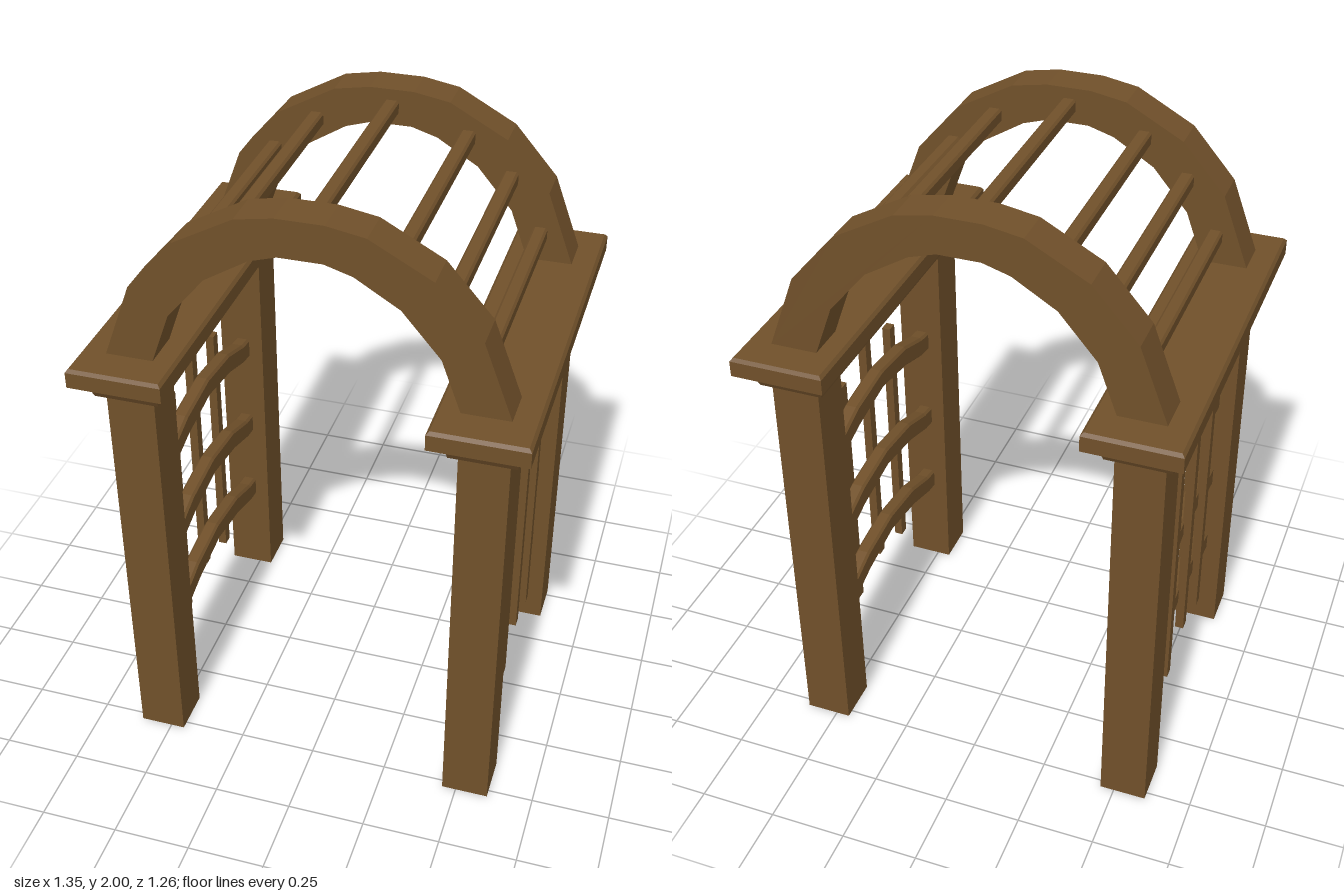
import * as THREE from 'three';

const wood = new THREE.MeshStandardMaterial({ color: 0x70502a, flatShading: true });

function add(parent, name, geometry, x = 0, y = 0, z = 0) {
  const mesh = new THREE.Mesh(geometry, wood);
  mesh.name = name;
  mesh.position.set(x, y, z);
  parent.add(mesh);
  return mesh;
}

// Box standing on y = 0 whose top may differ in size from its bottom
function taperedBox(w0, d0, w1, d1, h) {
  const g = new THREE.BoxGeometry(1, h, 1).translate(0, h / 2, 0);
  const p = g.attributes.position;
  for (let i = 0; i < p.count; i++) {
    const top = p.getY(i) > h / 2;
    p.setX(i, p.getX(i) * (top ? w1 : w0));
    p.setZ(i, p.getZ(i) * (top ? d1 : d0));
  }
  g.computeVertexNormals();
  return g;
}

// Closed outline from a lower and an upper run of points, both left to right
function band(lower, upper) {
  return new THREE.Shape([...lower, ...upper.slice().reverse()].map(([x, y]) => new THREE.Vector2(x, y)));
}

// Half profile (from the right end to the middle) mirrored to a full run
function mirrored(half) {
  const left = half.map(([x, y]) => [-x, y]);
  const right = half.slice().reverse().filter(([x]) => x > 0);
  return [...left, ...right];
}

// Extrusion centred on z = 0 with small chamfers
function chamfered(shape, depth, c) {
  return new THREE.ExtrudeGeometry(shape, {
    depth: depth - 2 * c, bevelEnabled: true, bevelSegments: 1,
    bevelThickness: c, bevelSize: c, bevelOffset: -c, curveSegments: 1,
  }).translate(0, 0, c - depth / 2);
}

export function createModel() {
  const model = new THREE.Group();
  model.name = 'gardenArbor';

  // Arched beams, front and back
  const outer = mirrored([[0.6, 1.48], [0.51, 1.72], [0.37, 1.88], [0.185, 1.98], [0.07, 2]]);
  const inner = mirrored([[0.455, 1.48], [0.395, 1.645], [0.28, 1.78], [0.148, 1.86], [0.065, 1.885]]);
  const archGeo = new THREE.ExtrudeGeometry(band(inner, outer), { depth: 0.125, bevelEnabled: false })
    .translate(0, 0, -0.0625);
  add(model, 'frontArch', archGeo, 0, 0, 0.45);
  add(model, 'backArch', archGeo, 0, 0, -0.453);

  // Roof slats between the arches
  const c = 0.007, a = 0.023;
  const slatShape = new THREE.Shape([
    [-a, c - a], [c - a, -a], [a - c, -a], [a, c - a],
    [a, a - c], [a - c, a], [c - a, a], [-a, a - c],
  ].map(([x, y]) => new THREE.Vector2(x, y)));
  const slatGeo = new THREE.ExtrudeGeometry(slatShape, { depth: 0.8, bevelEnabled: false }).translate(0, 0, -0.4);
  for (const [x, y] of mirrored([[0.49, 1.577], [0.387, 1.755], [0.245, 1.873], [0, 1.942]])) {
    add(model, 'roofSlat', slatGeo, x, y, 0);
  }

  // Wavy trellis rail, running along z
  const railTop = mirrored([[0.39, 1.01], [0.325, 1.02], [0.19, 1.065], [0, 1.087]]);
  const railBottom = mirrored([[0.39, 0.938], [0.325, 0.946], [0.19, 0.988], [0, 1.018]]);
  const railGeo = chamfered(band(railBottom, railTop), 0.05, 0.008).rotateY(Math.PI / 2);

  for (const s of [1, -1]) {
    const side = new THREE.Group();
    side.name = s > 0 ? 'leftSide' : 'rightSide';
    model.add(side);

    // Posts
    for (const z of [0.452, -0.452]) {
      add(side, 'post', new THREE.BoxGeometry(0.15, 1.36, 0.147), s * 0.53, 0.68, z);
    }

    // Moulded lintel: flared base, plate and chamfered top edge
    add(side, 'lintelBase', taperedBox(0.2, 1.1, 0.22, 1.18, 0.07), s * 0.53, 1.355);
    add(side, 'lintelPlate', taperedBox(0.292, 1.256, 0.292, 1.256, 0.05), s * 0.53, 1.425);
    add(side, 'lintelTop', taperedBox(0.292, 1.256, 0.274, 1.238, 0.01), s * 0.53, 1.475);

    // Trellis rails with upright bars on their outer faces
    for (const drop of [0, 0.322, 0.612]) add(side, 'trellisRail', railGeo, s * 0.528, -drop, 0);
    for (const z of [-0.187, 0, 0.187]) {
      add(side, 'trellisBar', new THREE.BoxGeometry(0.028, 0.897, 0.036), s * 0.563, z ? 0.69 : 0.744, z);
    }
  }
  return model;
}
